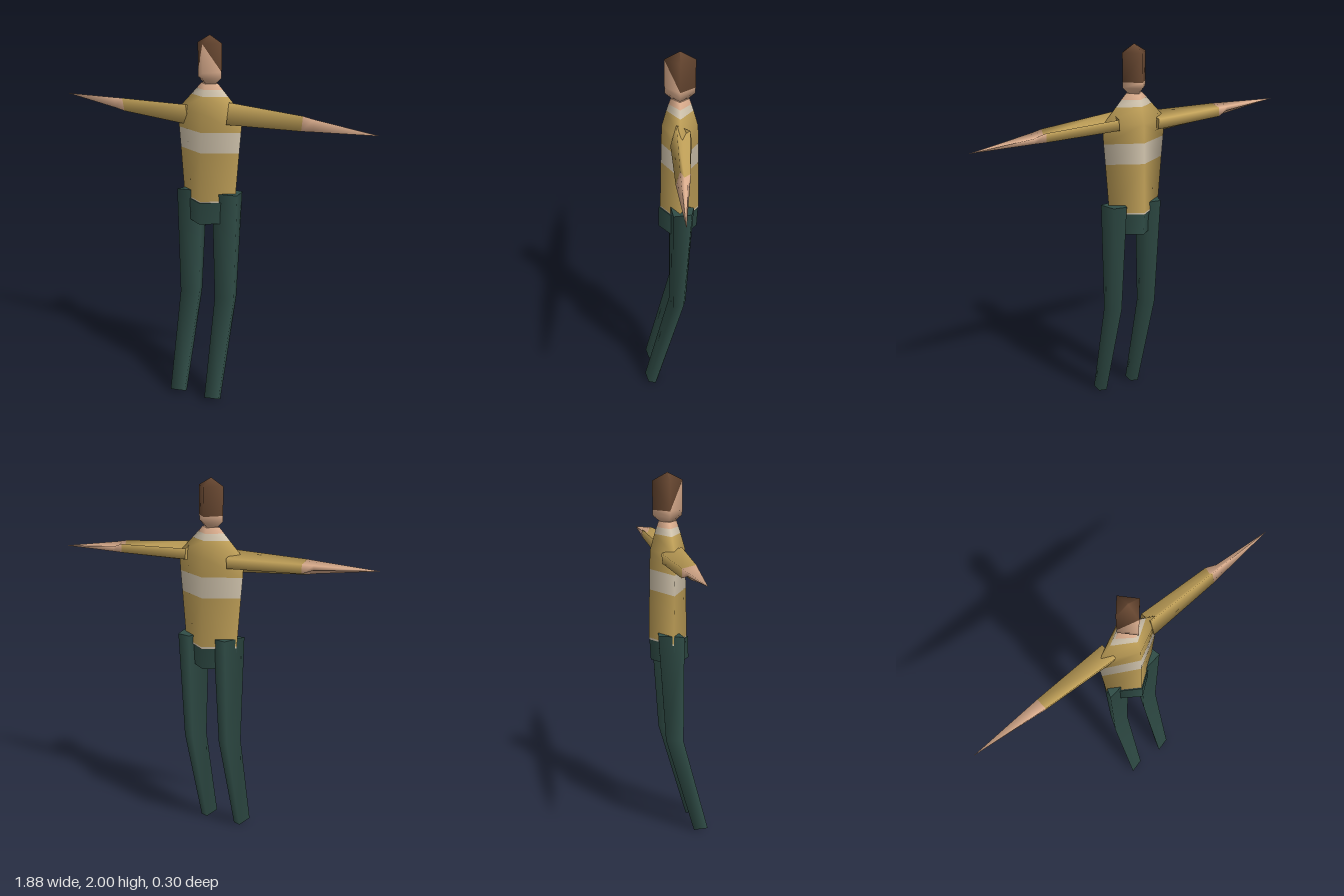
import * as THREE from 'three';

const mat = (name, color) => {
  const m = new THREE.MeshStandardMaterial({ color, side: THREE.DoubleSide });
  m.name = name;
  return m;
};

// Joins rings of points with smooth sides and flat end caps.
// colourOf(band, side, half) gives the material index of each triangle.
function loft(name, rings, materials, colourOf) {
  const n = rings[0].length, last = rings.length - 1;
  const pos = rings.flat(2), faces = materials.map(() => []);
  for (let i = 0; i < last; i++) {
    for (let j = 0; j < n; j++) {
      const k = (j + 1) % n;
      const a = i * n + j, b = i * n + k, c = b + n, d = a + n;
      const tris = j % 2 ? [[a, c, d], [a, b, c]] : [[b, c, d], [a, b, d]];
      tris.forEach((t, half) => faces[colourOf(i, j, half)].push(...t));
    }
  }
  // end caps have their own corners so the rims stay sharp
  for (const [i, flip] of [[0, true], [last, false]]) {
    const s = pos.length / 3;
    pos.push(...rings[i].flat());
    const m = colourOf(flip ? 0 : last - 1, 0, 0);
    for (let j = 1; j < n - 1; j++) {
      faces[m].push(s, s + (flip ? j + 1 : j), s + (flip ? j : j + 1));
    }
  }
  const g = new THREE.BufferGeometry();
  g.setAttribute('position', new THREE.Float32BufferAttribute(pos, 3));
  g.setIndex(faces.flat());
  let start = 0;
  faces.forEach((f, m) => {
    if (f.length) g.addGroup(start, f.length, m);
    start += f.length;
  });
  g.computeVertexNormals();
  const mesh = new THREE.Mesh(g, materials);
  mesh.name = name;
  return mesh;
}

// Diamond cross-section: front, left, back, right
const diamond = (y, w, d, z = -0.05) =>
  [[0, y, z + d], [w, y, z], [0, y, z - d], [-w, y, z]];

export function createModel() {
  const model = new THREE.Group();
  model.name = 'figure';
  const mustard = mat('mustard sweater', 0xc0a058);
  const cream = mat('cream stripe', 0xd2c5ae);
  const skin = mat('skin', 0xdcae8e);
  const hair = mat('brown hair', 0x664630);
  const green = mat('dark green trousers', 0x304d47);

  // torso with chest stripe, collar and neck
  const torsoBands = [1, 0, 1, 0, 0, 1, 2];
  model.add(loft('torso', [
    diamond(1.115, 0.155, 0.104), diamond(1.125, 0.156, 0.104),
    diamond(1.39, 0.178, 0.099), diamond(1.5, 0.188, 0.097),
    diamond(1.6, 0.194, 0.094), diamond(1.685, 0.112, 0.07),
    diamond(1.72, 0.079, 0.059), diamond(1.75, 0.05, 0.048),
  ].map((r, i) => r), [mustard, cream, skin], (i) => [torsoBands[0], 0, 1, 0, 0, 1, 2][i]));

  // pelvis
  model.add(loft('pelvis', [diamond(1.0, 0.142, 0.104, -0.04), diamond(1.118, 0.156, 0.106, -0.045)],
    [green], () => 0));

  // head: face below a slanting hairline, hair on top and behind
  model.add(loft('head', [
    diamond(1.745, 0.032, 0.036), diamond(1.78, 0.07, 0.078), diamond(1.81, 0.071, 0.079),
    diamond(1.96, 0.072, 0.08), diamond(2.0, 0.003, 0.003),
  ], [skin, hair], (i, j, half) => {
    if (i < 2) return 0;
    if (i > 2 || j === 1 || j === 2) return 1;
    return half === 0 ? 1 : 0;
  }));

  // arms: creased five-point section with a fin along the back, tapering to a point
  const armRing = (x, pts) => pts.map(([y, z]) => [x, y, z]);
  const tip = [1.56, -0.06];
  const armRings = [
    armRing(0.125, [[1.66, -0.03], [1.547, 0], [1.575, -0.107], [1.63, -0.1], [1.603, -0.06]]),
    armRing(0.54, [[1.625, -0.04], [1.55, -0.02], [1.565, -0.088], [1.612, -0.09], [1.592, -0.06]]),
    armRing(0.6, [[1.613, -0.043], [1.552, -0.026], [1.565, -0.084], [1.59, -0.075], [1.587, -0.06]]),
    armRing(0.94, [tip, tip, tip, tip, tip]),
  ];
  const makeArm = (name) => loft(name, armRings, [mustard, skin], (i) => (i ? 1 : 0));
  const rightArm = makeArm('rightArm');
  rightArm.rotation.z = Math.PI;
  rightArm.position.set(0.005, 3.18, 0);
  model.add(makeArm('leftArm'), rightArm);

  // legs: bent at the knee, feet forward
  const legRing = (x, y, w, zf, zb, tilt = 0) => [
    [x - w, y + tilt, zf], [x + w, y + tilt, zf - 0.02],
    [x + w * 0.75, y, zb + 0.012], [x - w * 0.3, y, zb],
  ];
  const legRings = [
    legRing(0.115, 0.005, 0.04, 0.148, 0.075, 0.018),
    legRing(0.117, 0.57, 0.054, 0.005, -0.085),
    legRing(0.115, 1.165, 0.07, 0.004, -0.125),
  ];
  for (const [name, x] of [['leftLeg', 0], ['rightLeg', -0.217]]) {
    const leg = loft(name, legRings, [green], () => 0);
    leg.position.x = x;
    model.add(leg);
  }
  return model;
}
